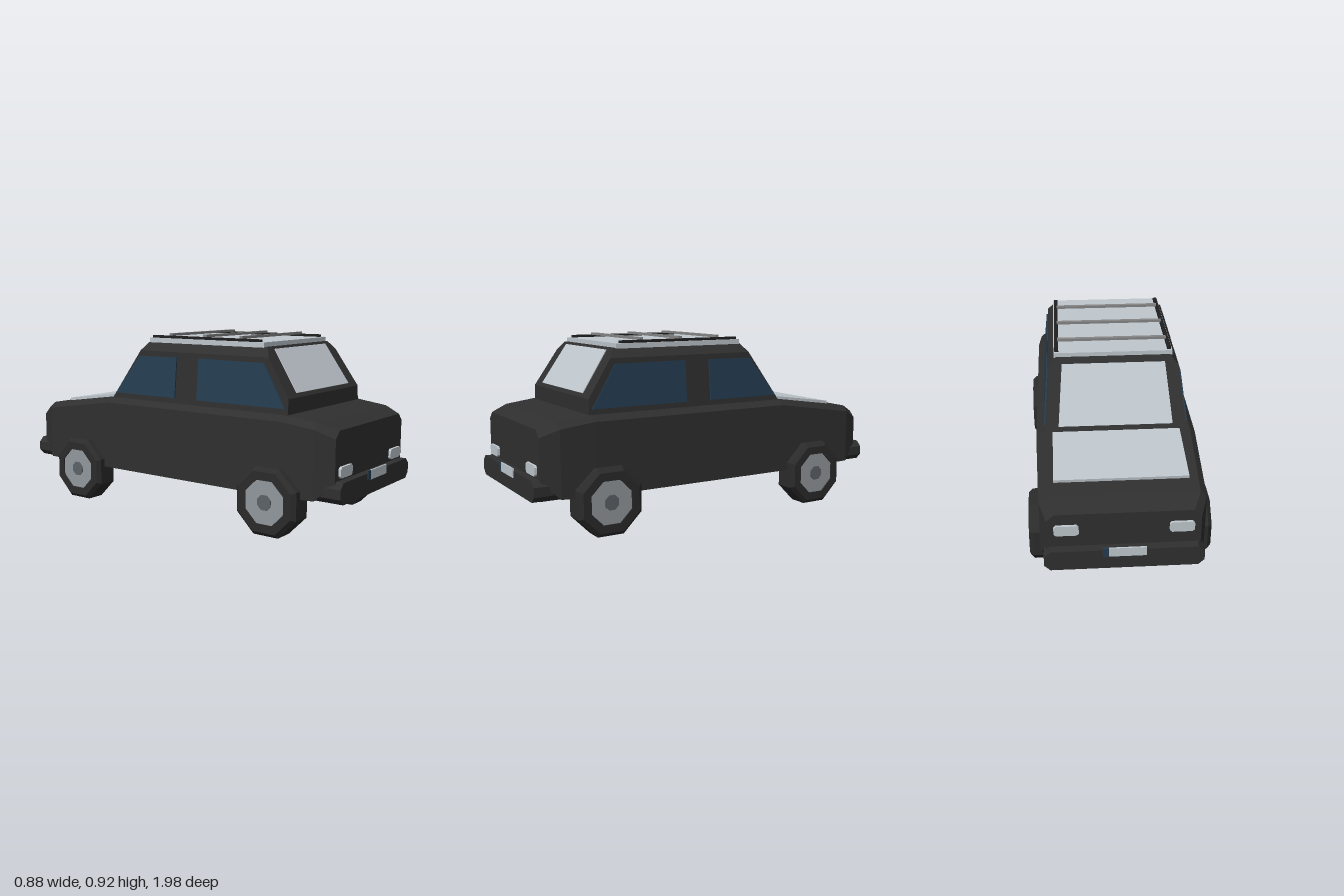
import * as THREE from 'three';
import { ConvexGeometry } from 'three/addons/geometries/ConvexGeometry.js';

const mat = (name, color, flatShading = true) => {
  const m = new THREE.MeshStandardMaterial({ color, flatShading });
  m.name = name;
  return m;
};

export function createModel() {
  const car = new THREE.Group();
  car.name = 'car';
  const black = mat('blackPaint', 0x2f2f2f);
  const rubber = mat('rubber', 0x2b2b2b);
  const silver = mat('silver', 0xbfc7cd);
  const blue = mat('blueGlass', 0x243c50);
  const hubGrey = mat('hubGrey', 0x92989c);
  const capGrey = mat('capGrey', 0x5c6268);
  const barGrey = mat('barGrey', 0x858585);
  const railBlack = mat('railBlack', 0x1f1f1f);

  const v = (x, y, z) => new THREE.Vector3(x, y, z);
  const add = (name, geo, material, parent = car) => {
    const mesh = new THREE.Mesh(geo, material);
    mesh.name = name;
    parent.add(mesh);
    return mesh;
  };
  const box = (name, w, h, d, x, y, z, material) =>
    add(name, new THREE.BoxGeometry(w, h, d), material).position.set(x, y, z);
  // Thin plate: corners counter-clockwise from outside, thickened outwards
  const plate = (name, pts, thick, material, mirror = 1) => {
    const n = pts[1].clone().sub(pts[0]).cross(pts[2].clone().sub(pts[0])).normalize();
    const all = [];
    for (const p of pts) {
      all.push(p.clone().addScaledVector(n, -0.002), p.clone().addScaledVector(n, thick));
    }
    all.forEach(p => { p.x *= mirror; });
    add(name, new ConvexGeometry(all), material);
  };

  // Lower body: z, half width, top, bottom, shoulder bevel
  const bodyPts = [];
  for (const [z, w, top, bottom, c] of [
    [0.95, 0.352, 0.52, 0.28, 0.035], [0.86, 0.385, 0.552, 0.195, 0.03],
    [0.69, 0.397, 0.572, 0.19, 0.027], [-0.40, 0.397, 0.572, 0.19, 0.027],
    [-0.86, 0.385, 0.506, 0.195, 0.03], [-0.945, 0.352, 0.465, 0.28, 0.035],
  ]) {
    for (const s of [-1, 1]) {
      bodyPts.push(v(s * w, top - c, z), v(s * (w - c), top, z), v(s * w, bottom, z));
    }
  }
  add('body', new ConvexGeometry(bodyPts), black);

  // Cabin with bevelled roof edges
  const zFront = y => Math.min(0.70, 0.70 - (y - 0.645) * 0.667);
  const zBack = y => -0.40 + (y - 0.57) * 0.695;
  const xSide = y => 0.355 - (y - 0.56) * 0.0926;
  const cabinPts = [];
  for (const [y, w] of [[0.56, 0.355], [0.645, xSide(0.645)], [0.83, 0.33], [0.875, 0.29]]) {
    for (const s of [-1, 1]) cabinPts.push(v(s * w, y, zFront(y)), v(s * w, y, zBack(y)));
  }
  add('cabin', new ConvexGeometry(cabinPts), black);

  // Windscreens
  const f = (x, y) => v(x, y, zFront(y));
  const b = (x, y) => v(x, y, zBack(y));
  plate('frontWindscreen', [f(-0.26, 0.663), f(0.26, 0.663), f(0.245, 0.863), f(-0.245, 0.863)], 0.004, silver);
  plate('rearWindscreen', [b(0.285, 0.59), b(-0.285, 0.59), b(-0.26, 0.848), b(0.26, 0.848)], 0.004, silver);

  // Side windows
  const side = (z, y) => v(xSide(y), y, z);
  for (const s of [1, -1]) {
    plate('frontSideWindow', [side(0.685, 0.598), side(0.17, 0.598), side(0.17, 0.805), side(0.555, 0.803)], 0.007, blue, s);
    plate('rearSideWindow', [side(0.03, 0.598), side(-0.375, 0.598), side(-0.22, 0.80), side(0.03, 0.803)], 0.007, blue, s);
  }

  // Rear deck panel
  plate('deckPanel', [v(-0.315, 0.521, -0.77), v(-0.315, 0.57, -0.42), v(0.315, 0.57, -0.42), v(0.315, 0.521, -0.77)], 0.013, silver);

  // Roof panel and rack
  box('roofPanel', 0.60, 0.025, 0.71, 0, 0.884, 0.175, silver);
  for (const s of [1, -1]) box('roofRail', 0.02, 0.016, 0.67, s * 0.285, 0.901, 0.17, railBlack);
  for (const z of [-0.055, 0.165, 0.385]) box('roofCrossbar', 0.56, 0.013, 0.02, 0, 0.914, z, barGrey);

  // Rectangle with cut corners, extruded along z
  const cutBox = (w, h, d, c) => {
    const x = w / 2, y = h / 2;
    const shape = new THREE.Shape([
      [-x + c, -y], [x - c, -y], [x, -y + c], [x, y - c],
      [x - c, y], [-x + c, y], [-x, y - c], [-x, -y + c],
    ].map(p => new THREE.Vector2(...p)));
    return new THREE.ExtrudeGeometry(shape, { depth: d, bevelEnabled: false }).translate(0, 0, -d / 2);
  };

  // Bumpers, lights and number plates at both ends
  for (const [end, s, bodyEnd, lightY] of [['front', 1, 0.95, 0.328], ['rear', -1, -0.945, 0.383]]) {
    add(end + 'Bumper', cutBox(0.735, 0.102, 0.145, 0.028), black).position.set(0, 0.239, s * 0.915);
    for (const m of [1, -1]) {
      add(end + 'Light', cutBox(0.114, 0.052, 0.026, 0.01), silver).position.set(m * 0.263, lightY, bodyEnd);
    }
    box(end + 'NumberPlate', 0.173, 0.046, 0.008, s * 0.0135, 0.279, s * 0.987, silver);
    box(end + 'PlateBand', 0.027, 0.046, 0.008, s * -0.0865, 0.279, s * 0.987, blue);
  }

  // Octagonal wheels: bevelled tyre ring, hub disc and centre cap
  const k = 1 / Math.cos(Math.PI / 8);
  const tyreGeo = new THREE.LatheGeometry([
    [0.105, -0.055], [0.105, -0.0675], [0.145, -0.0675], [0.164, -0.048], [0.164, 0.048],
    [0.145, 0.0675], [0.105, 0.0675], [0.105, 0.055],
  ].map(([r, y]) => new THREE.Vector2(r * k, y)), 8, Math.PI / 8);
  const hubGeo = new THREE.CylinderGeometry(0.106 * k, 0.106 * k, 0.124, 8, 1, false, Math.PI / 8);
  const capGeo = new THREE.CylinderGeometry(0.036 * k, 0.036 * k, 0.134, 8, 1, false, Math.PI / 8);
  for (const z of [0.63, -0.60]) {
    for (const s of [1, -1]) {
      const wheel = new THREE.Group();
      wheel.name = 'wheel';
      add('tyre', tyreGeo, rubber, wheel);
      add('hub', hubGeo, hubGrey, wheel);
      add('hubCap', capGeo, capGrey, wheel);
      wheel.rotation.z = Math.PI / 2;
      wheel.position.set(s * 0.3745, 0.164, z);
      car.add(wheel);
    }
  }
  return car;
}
